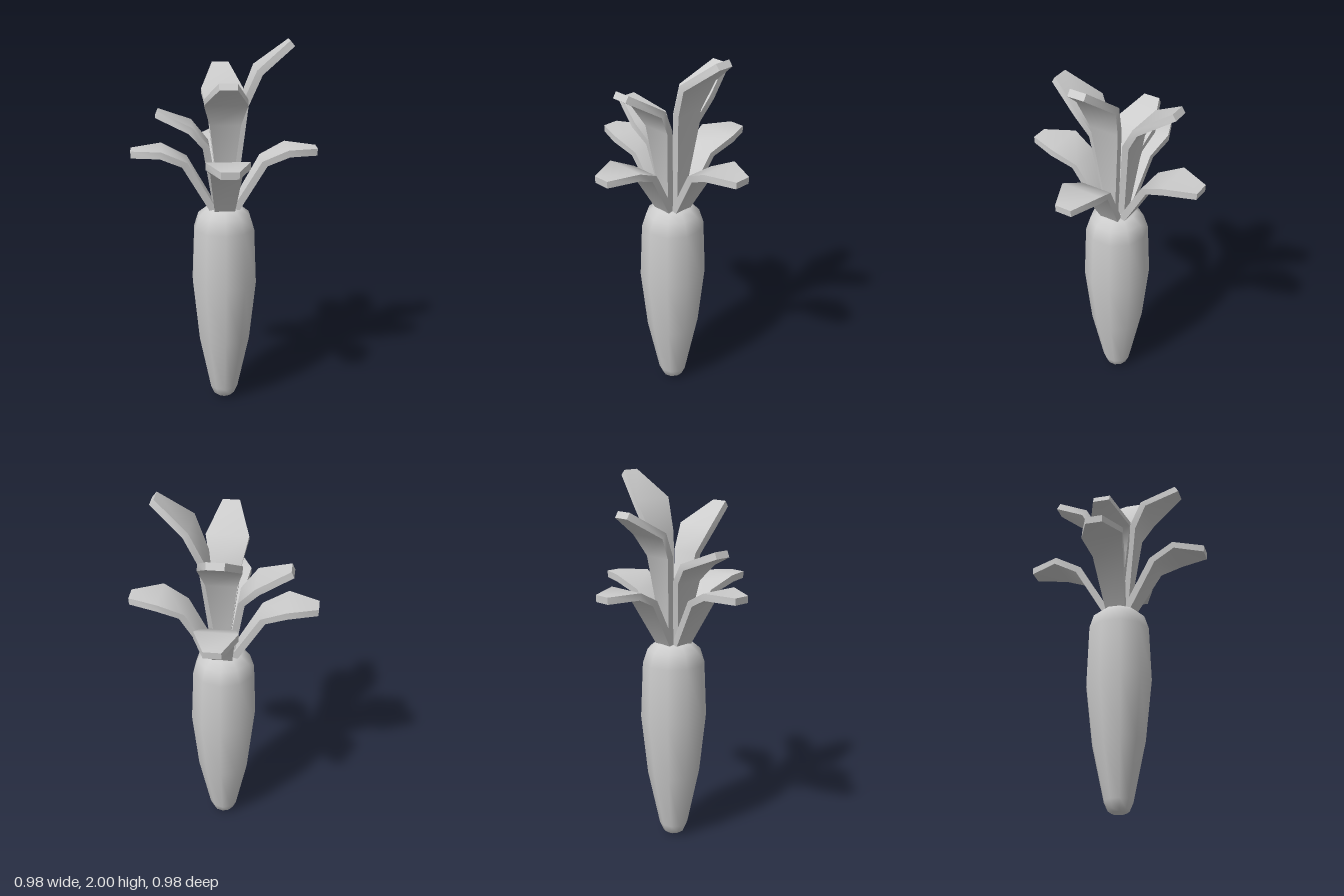
import * as THREE from 'three';
import { toCreasedNormals } from 'three/addons/utils/BufferGeometryUtils.js';

const THICKNESS = 0.037;

// Bent slab: stations [reach, height, half width] trace its upper side
function leafGeometry(stations) {
  const rings = stations.map(([x, y, w], i) => {
    const a = stations[Math.max(i - 1, 0)];
    const b = stations[Math.min(i + 1, stations.length - 1)];
    const dx = b[0] - a[0], dy = b[1] - a[1], k = THICKNESS / Math.hypot(dx, dy);
    const ux = x + dy * k, uy = y - dx * k;
    return [[x, y, -w], [x, y, w], [ux, uy, w], [ux, uy, -w]];
  });
  const pos = [];
  const quad = (a, b, c, d) => pos.push(...a, ...b, ...c, ...a, ...c, ...d);
  for (let i = 0; i < rings.length - 1; i++) {
    const a = rings[i], b = rings[i + 1];
    for (let j = 0; j < 4; j++) {
      const k = (j + 1) % 4;
      quad(a[j], a[k], b[k], b[j]);
    }
  }
  quad(...rings[rings.length - 1]);
  quad(...[...rings[0]].reverse());
  const geo = new THREE.BufferGeometry();
  geo.setAttribute('position', new THREE.Float32BufferAttribute(pos, 3));
  return toCreasedNormals(geo, 0.75);
}

export function createModel() {
  const group = new THREE.Group();
  const grey = new THREE.MeshStandardMaterial({ color: 0xcccccc });
  grey.name = 'plain grey';

  // Tapered root, ten sided and smooth
  const profile = [
    [0, 0], [0.04, 0.007], [0.058, 0.02], [0.078, 0.065], [0.143, 0.37], [0.179, 0.7],
    [0.167, 1.0], [0.143, 1.075], [0.1, 1.11], [0.06, 1.12], [0, 1.12],
  ].map(([r, y]) => new THREE.Vector2(r, y));
  const root = new THREE.Mesh(new THREE.LatheGeometry(profile, 10), grey);
  root.name = 'root';
  group.add(root);

  function addLeaf(name, geometry, quarter) {
    const leaf = new THREE.Mesh(geometry, grey);
    leaf.name = name;
    leaf.rotation.y = quarter * Math.PI / 2;
    group.add(leaf);
  }

  // Four drooping outer leaves
  const outer = leafGeometry([
    [0.04, 1.115, 0.052], [0.195, 1.38, 0.084], [0.33, 1.445, 0.112], [0.49, 1.436, 0.045],
  ]);
  for (let q = 0; q < 4; q++) addLeaf('outerLeaf', outer, q);

  // Upright inner leaves: tall on the left, middle front and back, short on the right
  const tall = [[0.018, 1.1, 0.02], [0.085, 1.68, 0.08], [0.16, 1.86, 0.112], [0.335, 2.0, 0.045]];
  const middle = [[0.018, 1.1, 0.02], [0.08, 1.59, 0.08], [0.157, 1.725, 0.112], [0.338, 1.838, 0.045]];
  const short = [[0.018, 1.1, 0.02], [0.08, 1.465, 0.08], [0.168, 1.57, 0.112], [0.343, 1.645, 0.045]];
  [tall, middle, short, middle].forEach((s, q) => addLeaf('innerLeaf', leafGeometry(s), q));

  return group;
}
